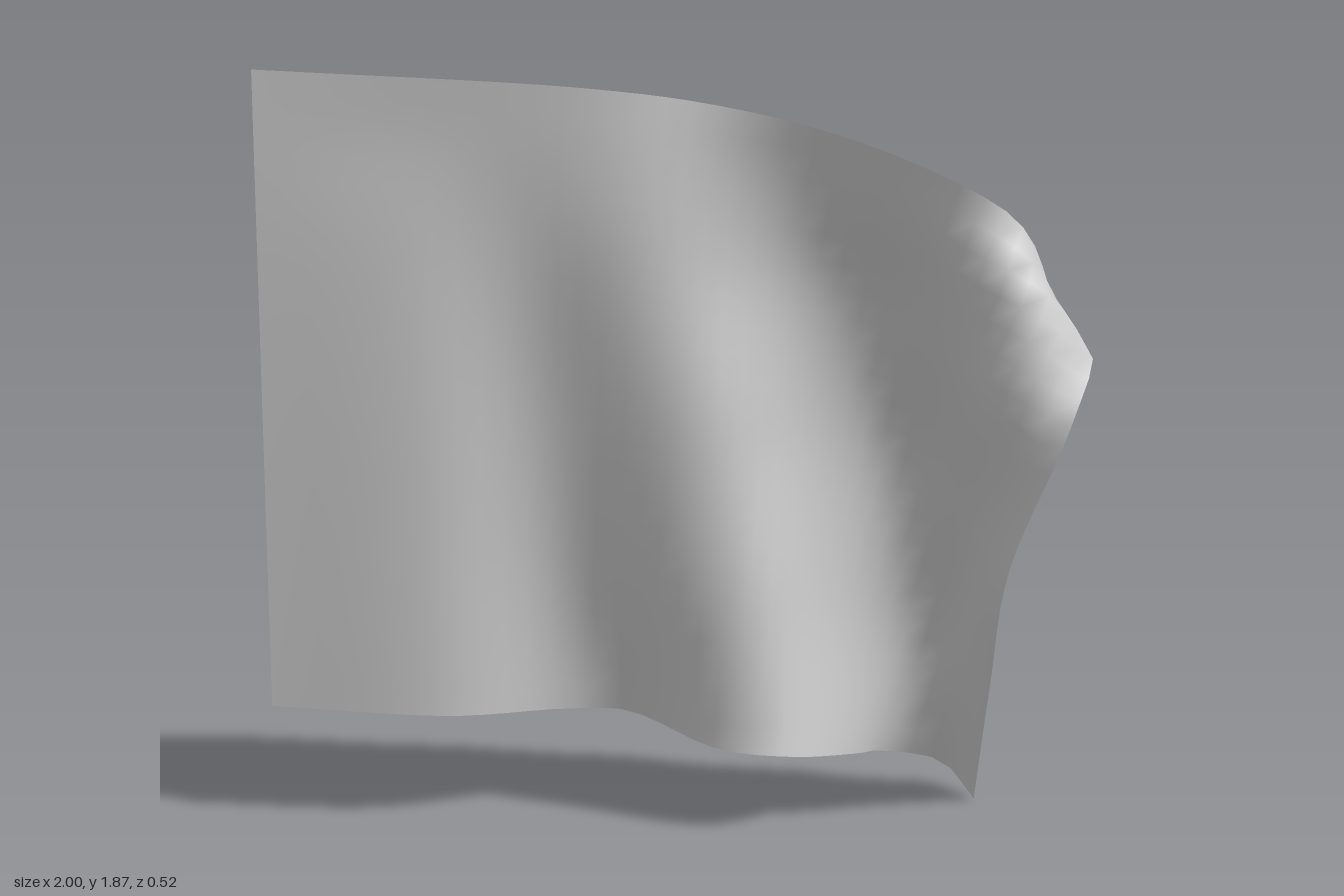
import * as THREE from 'three';

// Height fraction of each cross-section, with its folds from near the hoist to the fly
const sections = [
  { v: 0, folds: [[-.55, .275, .03], [-.27, .26, -.08], [-.12, .255, -.09], [.12, .213, .1], [.28, .2, .115],
    [.47, .13, -.12], [.55, .1, -.235], [.7, .065, -.258], [.775, .003, -.14]] },
  { v: .25, folds: [[-.58, .67, .025], [-.27, .655, -.055], [.07, .62, .07], [.21, .6, .075],
    [.47, .525, -.15], [.67, .45, -.205], [.79, .36, .03]] },
  { v: .5, folds: [[-.6, 1.07, .02], [-.32, 1.06, -.035], [.08, 1.02, .055], [.36, .96, -.105],
    [.57, .89, -.165], [.73, .8, -.02], [.81, .7, .2]] },
  { v: .75, folds: [[-.65, 1.465, .01], [-.36, 1.455, -.015], [-.05, 1.43, .025], [.36, 1.335, -.1], [.53, 1.275, -.08],
    [.67, 1.215, .04], [.8, 1.15, .21], [.94, 1.06, .248]] },
  { v: .9, folds: [[-.36, 1.7, -.004], [-.05, 1.67, 0], [.27, 1.605, -.05], [.47, 1.55, -.015],
    [.65, 1.48, .085], [.8, 1.4, .17], [.92, 1.31, .155], [1, 1.22, .088]] },
  { v: 1, folds: [[-.2, 1.825, -.005], [.1, 1.785, -.03], [.4, 1.715, 0], [.7, 1.6, .108],
    [.83, 1.51, .088], [.9, 1.36, .015], [.88, 1.23, 0]] },
];

const curveThrough = (points) => new THREE.CatmullRomCurve3(points, false, 'centripetal');

export function createModel() {
  const COLS = 36, ROWS = 24;
  const group = new THREE.Group();
  group.name = 'flag';

  // Equal cloth lengths along each section, starting at the straight hoist
  const weft = sections.map(({ v, folds }) => {
    const hoist = new THREE.Vector3(-1, .29 + 1.58 * v, 0);
    return curveThrough([hoist, ...folds.map((p) => new THREE.Vector3(...p))]).getSpacedPoints(COLS);
  });

  // Smooth threads from the bottom hem to the top hem
  const position = [], index = [];
  for (let i = 0; i <= COLS; i++) {
    const thread = curveThrough(weft.map((points) => points[i])).getSpacedPoints(ROWS);
    thread.forEach((p) => position.push(p.x, p.y, p.z));
  }
  for (let i = 0; i < COLS; i++) {
    for (let j = 0; j < ROWS; j++) {
      const a = i * (ROWS + 1) + j, b = a + ROWS + 1;
      index.push(a, b, b + 1, a, b + 1, a + 1);
    }
  }
  const geometry = new THREE.BufferGeometry();
  geometry.setAttribute('position', new THREE.Float32BufferAttribute(position, 3));
  geometry.setIndex(index);
  geometry.computeVertexNormals();

  const cloth = new THREE.MeshStandardMaterial({ color: 0xcccccc, side: THREE.DoubleSide });
  cloth.name = 'light grey cloth';
  const mesh = new THREE.Mesh(geometry, cloth);
  mesh.name = 'wavingCloth';
  group.add(mesh);
  return group;
}
